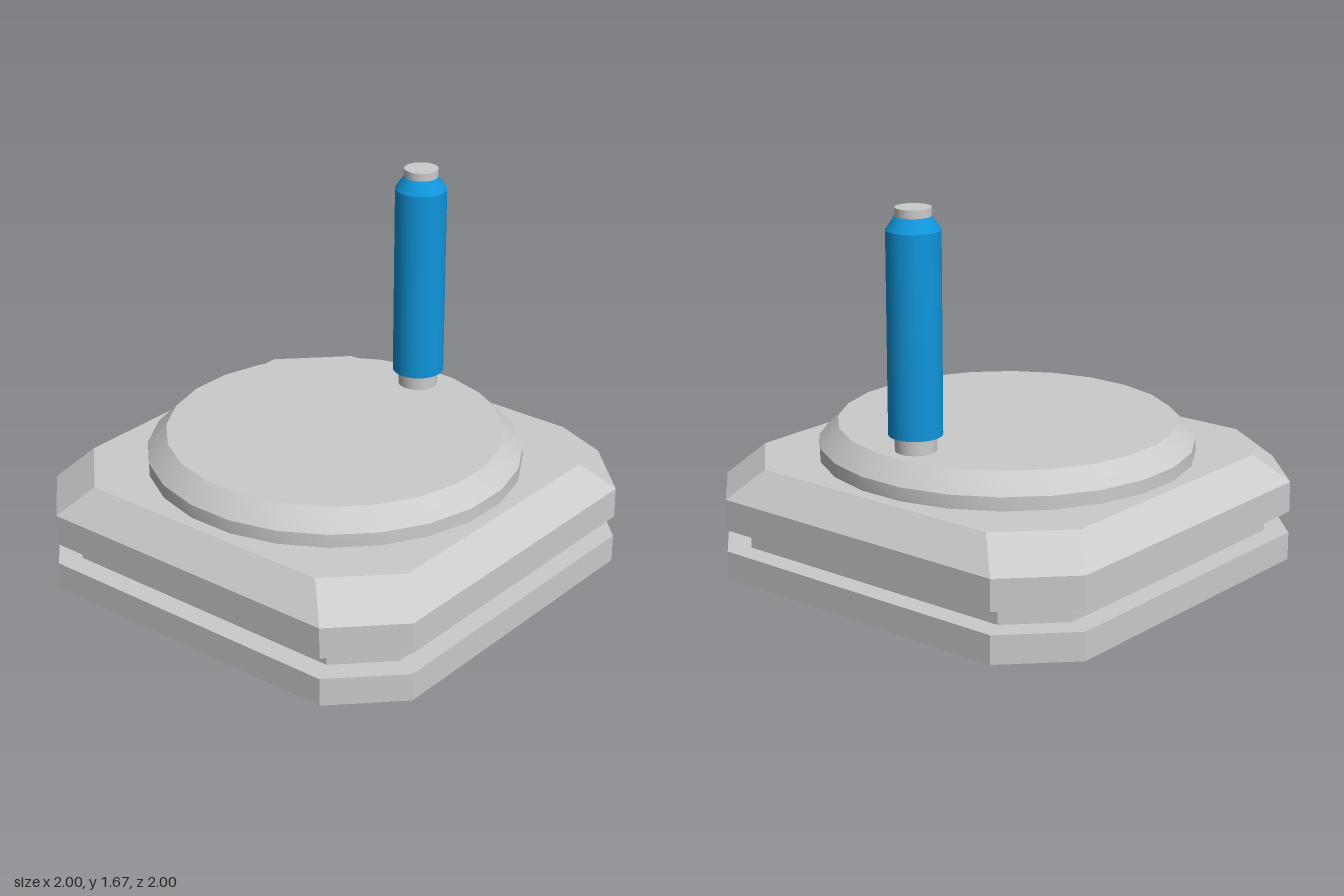
import * as THREE from 'three';
import { toCreasedNormals } from 'three/addons/utils/BufferGeometryUtils.js';

const grey = new THREE.MeshStandardMaterial({ color: 0xcccccc });
const blue = new THREE.MeshStandardMaterial({ color: 0x1096dc });

function addMesh(parent, name, geometry, material = grey) {
  const mesh = new THREE.Mesh(geometry, material);
  mesh.name = name;
  parent.add(mesh);
  return mesh;
}

// Solid stacked from square sections with cut corners: [height, half width, corner start]
function chamferedSquareLoft(sections) {
  const rings = sections.map(([y, h, c]) =>
    [[-c, h], [c, h], [h, c], [h, -c], [c, -h], [-c, -h], [-h, -c], [-h, c]].map(([x, z]) => [x, y, z]));
  const pos = [];
  const tri = (...corners) => corners.forEach((p) => pos.push(...p));
  for (let r = 0; r < rings.length - 1; r++) {
    for (let i = 0; i < 8; i++) {
      const j = (i + 1) % 8;
      const [low, up] = [rings[r], rings[r + 1]];
      tri(low[i], low[j], up[j]);
      tri(low[i], up[j], up[i]);
    }
  }
  const bottom = rings[0];
  const top = rings[rings.length - 1];
  for (let i = 1; i < 7; i++) {
    tri(top[0], top[i], top[i + 1]);
    tri(bottom[0], bottom[i + 1], bottom[i]);
  }
  const geometry = new THREE.BufferGeometry();
  geometry.setAttribute('position', new THREE.Float32BufferAttribute(pos, 3));
  geometry.computeVertexNormals();
  return geometry;
}

// Turned part with crisp profile edges: [radius, height] from bottom to top
function turned(profile, sides, start = 0) {
  const points = profile.map(([r, y]) => new THREE.Vector2(r, y));
  return toCreasedNormals(new THREE.LatheGeometry(points, sides, start), 0.5);
}

export function createModel() {
  const model = new THREE.Group();
  model.name = 'crankBase';

  // Base plates, separated by a recessed groove
  addMesh(model, 'lowerPlate', chamferedSquareLoft([[0, 1, 0.735], [0.125, 1, 0.735]]));
  addMesh(model, 'grooveCore', chamferedSquareLoft([[0.125, 0.9, 0.69], [0.222, 0.9, 0.69]]));
  addMesh(model, 'upperPlate', chamferedSquareLoft([[0.222, 1, 0.735], [0.36, 1, 0.735], [0.49, 0.88, 0.615]]));

  // Bevelled turntable, with flats facing the four sides
  addMesh(model, 'turntable',
    turned([[0, 0.49], [0.825, 0.49], [0.825, 0.55], [0.741, 0.635], [0, 0.635]], 24, Math.PI / 24));

  // Offset handle: post, coloured grip and end cap
  const handle = new THREE.Group();
  handle.name = 'handle';
  handle.position.x = 0.6;
  model.add(handle);
  addMesh(handle, 'post', turned([[0, 0.63], [0.088, 0.63], [0.088, 0.72], [0, 0.72]], 32));
  addMesh(handle, 'grip',
    turned([[0, 0.705], [0.115, 0.705], [0.115, 1.575], [0.076, 1.632], [0, 1.632]], 32), blue);
  addMesh(handle, 'endCap', turned([[0, 1.62], [0.076, 1.62], [0.076, 1.668], [0, 1.668]], 32));

  return model;
}
